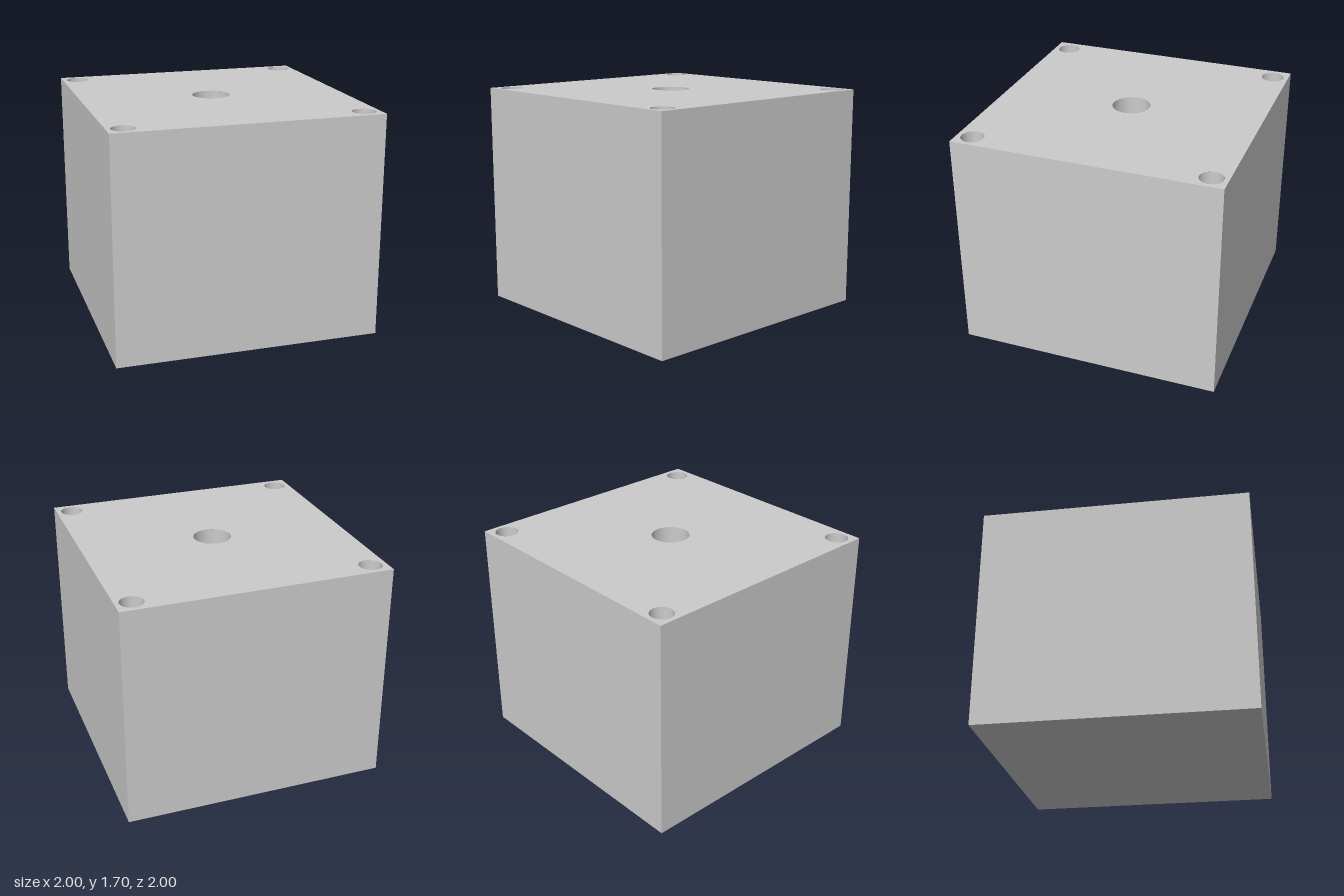
import * as THREE from 'three';

const HEIGHT = 1.7;
const SEGMENTS = 64;

export function createModel() {
  const group = new THREE.Group();
  const material = new THREE.MeshStandardMaterial({ color: 0xcccccc });
  const boreMaterial = new THREE.MeshStandardMaterial({ color: 0xcccccc, side: THREE.BackSide });

  const add = (name, geometry, mat, parent = group) => {
    const mesh = new THREE.Mesh(geometry, mat);
    mesh.name = name;
    parent.add(mesh);
    return mesh;
  };

  // Blind holes: a wide one in the centre, a narrow one in each corner
  const holes = [{ name: 'centreHole', x: 0, z: 0, r: 0.143, depth: 0.5 }];
  for (const x of [-0.88, 0.88]) {
    for (const z of [-0.88, 0.88]) holes.push({ name: 'cornerHole', x, z, r: 0.086, depth: 0.5 });
  }

  // Block body: four walls and the underside, without the box's top face (indices 12 to 17)
  const body = new THREE.BoxGeometry(2, HEIGHT, 2);
  body.setIndex([...body.index.array].filter((_, i) => i < 12 || i >= 18));
  body.clearGroups();
  body.translate(0, HEIGHT / 2, 0);
  add('blockBody', body, material);

  // Top face, pierced by the holes
  const outline = new THREE.Shape([[-1, -1], [1, -1], [1, 1], [-1, 1]].map(([x, y]) => new THREE.Vector2(x, y)));
  for (const { x, z, r } of holes) {
    outline.holes.push(new THREE.Path().absarc(x, -z, r, 0, Math.PI * 2, true));
  }
  const top = new THREE.ShapeGeometry(outline, SEGMENTS);
  top.rotateX(-Math.PI / 2).translate(0, HEIGHT, 0);
  add('topFace', top, material);

  // Hole walls, seen from inside, and their flat floors
  for (const { name, x, z, r, depth } of holes) {
    const hole = new THREE.Group();
    hole.name = name;
    hole.position.set(x, HEIGHT - depth, z);
    const wall = new THREE.CylinderGeometry(r, r, depth, SEGMENTS, 1, true).translate(0, depth / 2, 0);
    add('holeWall', wall, boreMaterial, hole);
    add('holeFloor', new THREE.CircleGeometry(r, SEGMENTS).rotateX(-Math.PI / 2), material, hole);
    group.add(hole);
  }

  return group;
}
